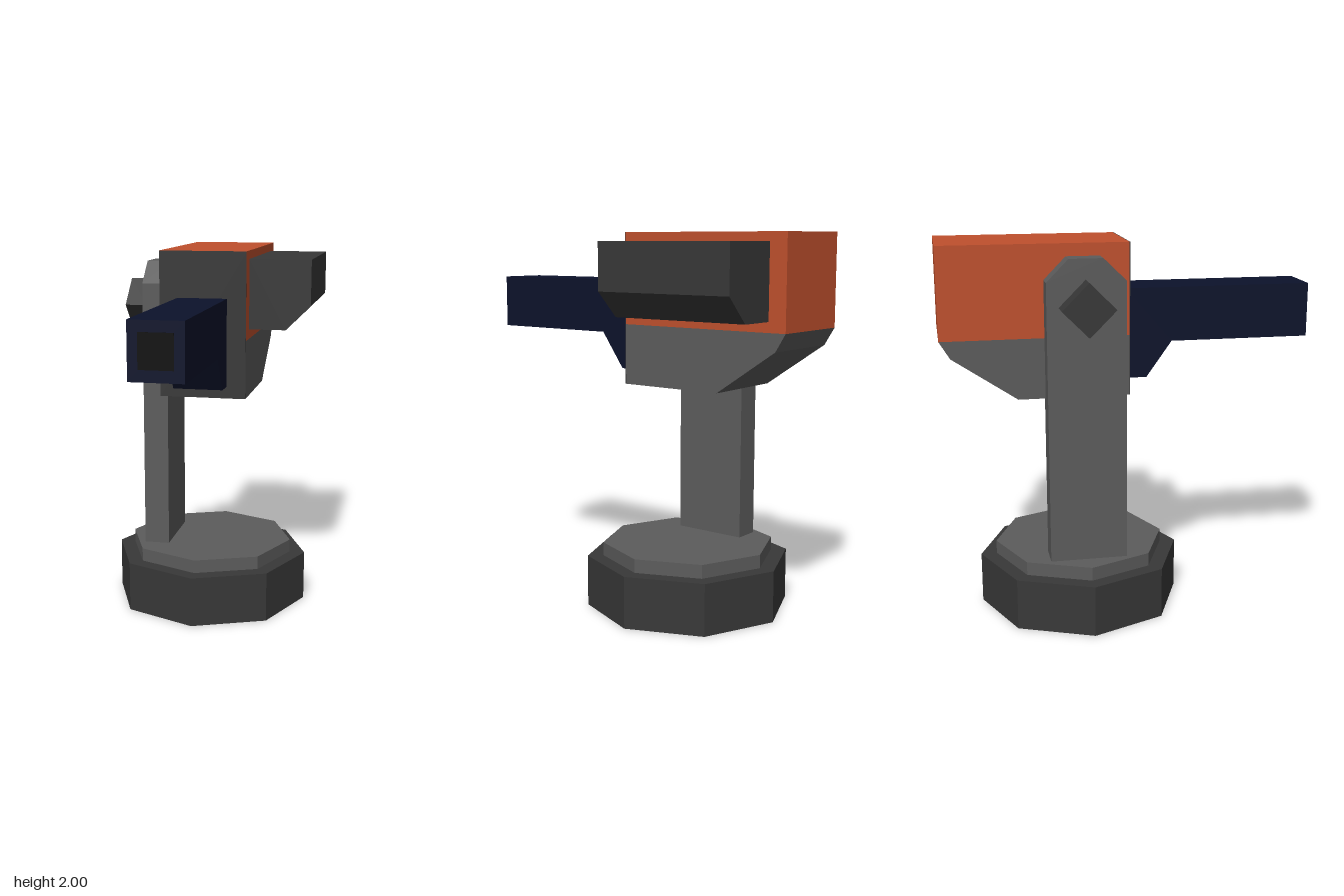
import * as THREE from 'three';

const mat = (color) => new THREE.MeshStandardMaterial({ color, flatShading: true });

export function createModel() {
  const group = new THREE.Group();
  const dark = mat(0x383838), grey = mat(0x5c5c5c), orange = mat(0xbf502d);
  const navy = mat(0x0c122b), black = mat(0x0b0b0b);

  const add = (name, geometry, material) => {
    const mesh = new THREE.Mesh(geometry, material);
    mesh.name = name;
    group.add(mesh);
    return mesh;
  };
  const box = (x0, x1, y0, y1, z0, z1) =>
    new THREE.BoxGeometry(x1 - x0, y1 - y0, z1 - z0)
      .translate((x0 + x1) / 2, (y0 + y1) / 2, (z0 + z1) / 2);
  const extrude = (points, depth) => new THREE.ExtrudeGeometry(
    new THREE.Shape(points.map(([a, b]) => new THREE.Vector2(a, b))),
    { depth, bevelEnabled: false });
  // Side profile of [z, y] points, spanning x0 to x1
  const sideProfile = (points, x0, x1) =>
    extrude(points, x1 - x0).rotateY(-Math.PI / 2).translate(x1, 0, 0);
  // Eight-sided disc with its corners on the axes
  const octagon = (radius, y0, y1) =>
    new THREE.CylinderGeometry(radius, radius, y1 - y0, 8)
      .translate(-0.012, (y0 + y1) / 2, -0.25);

  // Base and raised plate
  add('base', octagon(0.548, 0, 0.275), dark);
  add('basePlate', octagon(0.463, 0.275, 0.347), grey);

  // Side post with chamfered top, and its pivot knob
  add('post', sideProfile([
    [-0.045, 0.345], [-0.045, 1.82], [-0.163, 1.935],
    [-0.337, 1.935], [-0.45, 1.82], [-0.45, 0.345],
  ], -0.355, -0.217), grey);
  add('pivotKnob', new THREE.CylinderGeometry(0.137, 0.137, 0.117, 4)
    .rotateZ(Math.PI / 2).translate(-0.4125, 1.695, -0.252), dark);

  // Main housing: upper cover, sloped lower body and front panel
  add('upperCover', box(-0.25, 0.224, 1.525, 2, -0.98, -0.012), orange);
  add('lowerBody', sideProfile([
    [-0.012, 1.525], [-0.98, 1.525], [-0.925, 1.435], [-0.59, 1.21], [-0.012, 1.21],
  ], -0.25, 0.224), grey);
  add('frontPanel', box(-0.25, 0.224, 1.21, 2, -0.012, -0.008), dark);

  // Side pod with its lower outer edge cut off
  add('sidePod', extrude([
    [0.224, 1.955], [0.224, 1.577], [0.424, 1.577], [0.557, 1.71], [0.557, 1.955],
  ], 0.775).translate(0, 0, -0.885), dark);

  // Square barrel with a brace below, and the muzzle opening
  add('barrel', sideProfile([
    [-0.01, 1.75], [-0.01, 1.275], [0.1, 1.275], [0.235, 1.465], [0.98, 1.465], [0.98, 1.75],
  ], -0.15, 0.12), navy);
  add('muzzle', box(-0.1, 0.07, 1.523, 1.695, 0.97, 0.983), black);

  return group;
}
